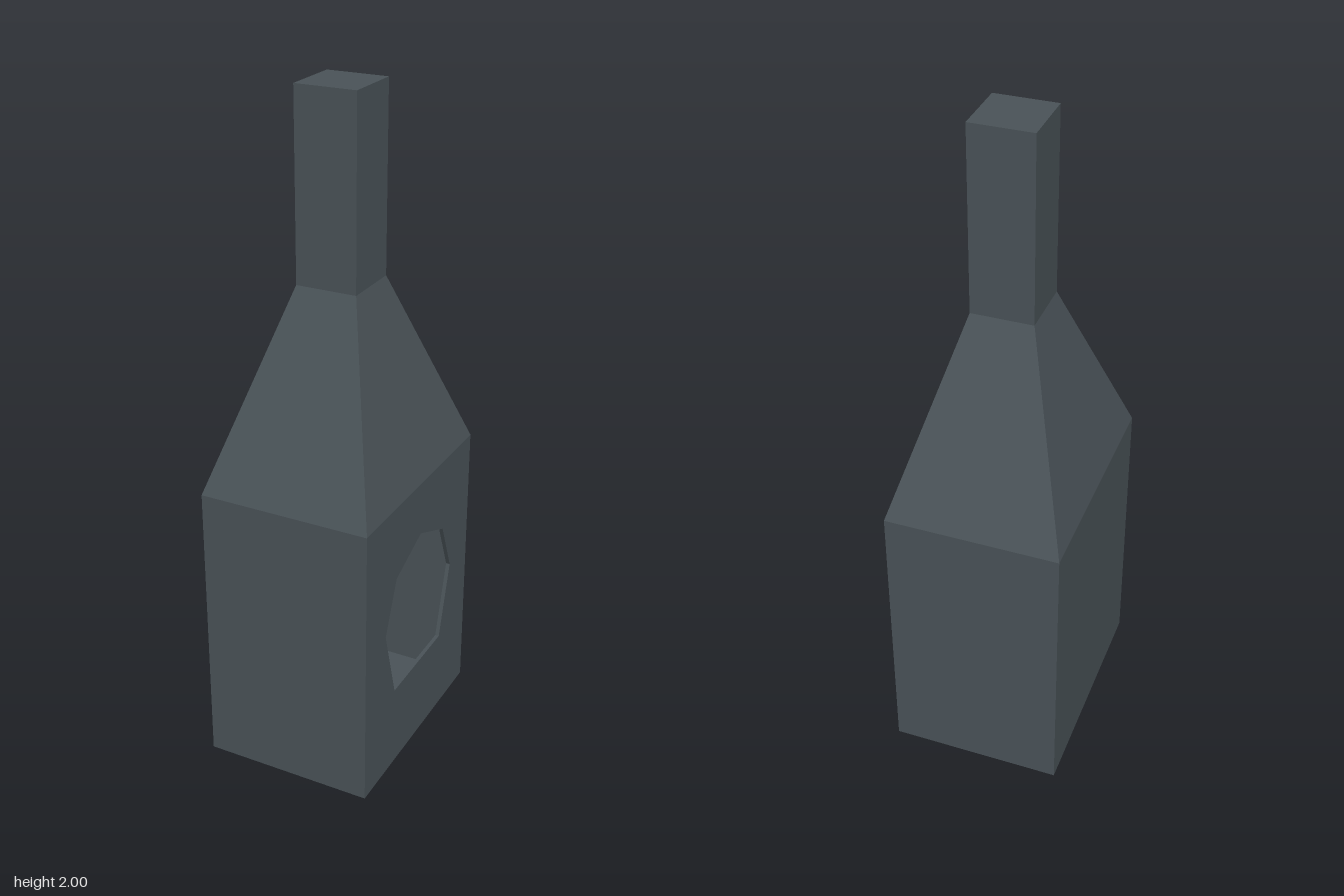
import * as THREE from 'three';

const HX = 0.26, HZ = 0.353, NECK = 0.092;
const SHOULDER_Y = 0.88, NECK_Y = 1.45, TOP_Y = 2;

// Flat-shaded geometry from a list of four-cornered faces
function quads(faces) {
  const p = [];
  for (const [a, b, c, d] of faces) p.push(...a, ...b, ...c, ...a, ...c, ...d);
  const g = new THREE.BufferGeometry();
  g.setAttribute('position', new THREE.Float32BufferAttribute(p, 3));
  g.computeVertexNormals();
  return g;
}

// Rectangle corners at height y, counter-clockwise from front right
const ring = (hx, hz, y) => [[-hx, y, hz], [hx, y, hz], [hx, y, -hz], [-hx, y, -hz]];

// Walls between two rings; side 1 is the left (+x) wall
function walls(low, high, skip = -1) {
  return [0, 1, 2, 3].filter((i) => i !== skip).map((i) => {
    const j = (i + 1) % 4;
    return [low[i], low[j], high[j], high[i]];
  });
}

export function createModel() {
  const group = new THREE.Group();
  const slate = new THREE.MeshStandardMaterial({ color: 0x4a5358, side: THREE.DoubleSide });
  slate.name = 'dark slate';
  const add = (name, geometry) => {
    const mesh = new THREE.Mesh(geometry, slate);
    mesh.name = name;
    group.add(mesh);
    return mesh;
  };

  const base = ring(HX, HZ, 0), shoulder = ring(HX, HZ, SHOULDER_Y);
  const neckLow = ring(NECK, NECK, NECK_Y), neckTop = ring(NECK, NECK, TOP_Y);

  // Hollow firebox, tapered hood and square flue
  add('firebox', quads([...walls(base, shoulder, 1), [...base].reverse()]));
  add('hood', quads(walls(shoulder, neckLow)));
  add('flue', quads([...walls(neckLow, neckTop), neckTop]));

  // Arched opening: an octagon with a flattened bottom
  const r = 0.227, cy = 0.487;
  const outline = [];
  for (let i = 0; i < 8; i++) {
    const a = (i * Math.PI) / 4;
    const y = i > 4 ? -r : r * Math.sin(a);
    outline.push(new THREE.Vector2(r * Math.cos(a), cy + y));
  }
  const wall = new THREE.Shape([
    new THREE.Vector2(-HZ, 0), new THREE.Vector2(HZ, 0),
    new THREE.Vector2(HZ, SHOULDER_Y), new THREE.Vector2(-HZ, SHOULDER_Y),
  ]);
  wall.holes.push(new THREE.Path(outline));
  const wallGeometry = new THREE.ShapeGeometry(wall);
  wallGeometry.rotateY(Math.PI / 2);
  wallGeometry.translate(HX, 0, 0);
  add('openingWall', wallGeometry);

  // Thin inward lip around the opening
  const at = (p, x) => [x, p.y, -p.x];
  add('openingRim', quads(outline.map((p, i) => {
    const q = outline[(i + 1) % outline.length];
    return [at(p, HX), at(q, HX), at(q, HX - 0.012), at(p, HX - 0.012)];
  })));

  return group;
}
